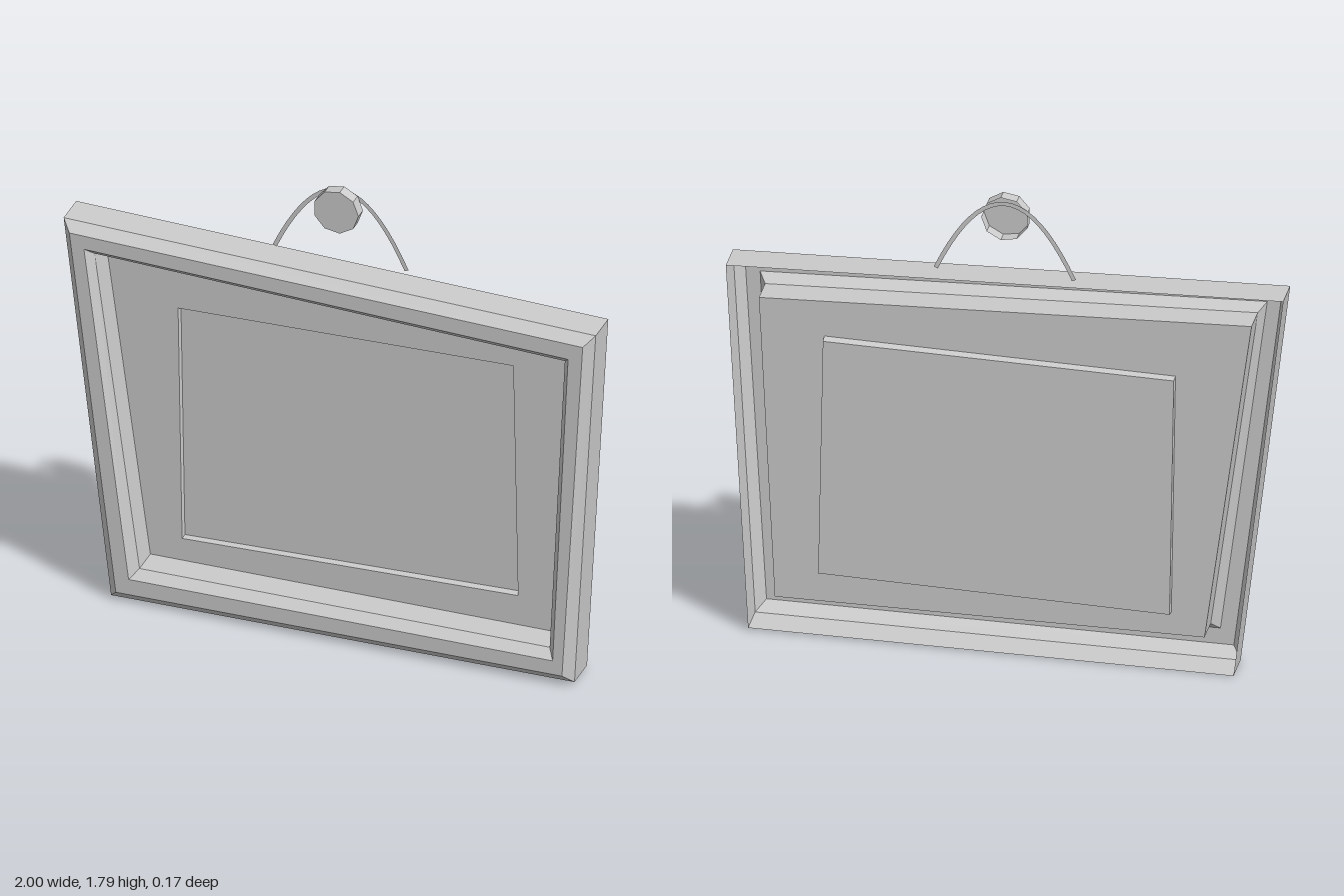
import * as THREE from 'three';
import { mergeGeometries } from 'three/addons/utils/BufferGeometryUtils.js';

const material = new THREE.MeshStandardMaterial({
  color: 0xcccccc, flatShading: true, side: THREE.DoubleSide,
});

// Joins four-cornered rings (top left, top right, bottom right, bottom left) into a flat-faced shell.
function loftQuads(rings, capped) {
  const positions = [];
  const index = [];
  rings.forEach(({ corners, z }) => corners.forEach(([x, y]) => positions.push(x, y, z)));
  for (let r = 0; r < rings.length - 1; r++) {
    for (let i = 0; i < 4; i++) {
      const j = (i + 1) % 4;
      const a = r * 4, b = a + 4;
      index.push(a + i, b + i, b + j, a + i, b + j, a + j);
    }
  }
  if (capped) {
    const k = (rings.length - 1) * 4;
    index.push(k, k + 3, k + 2, k, k + 2, k + 1);
  }
  const indexed = new THREE.BufferGeometry();
  indexed.setAttribute('position', new THREE.Float32BufferAttribute(positions, 3));
  indexed.setIndex(index);
  const geometry = indexed.toNonIndexed();
  geometry.computeVertexNormals();
  return geometry;
}

export function createModel() {
  const group = new THREE.Group();
  const add = (name, geometry) => {
    const mesh = new THREE.Mesh(geometry, material);
    mesh.name = name;
    group.add(mesh);
  };

  // Crooked outlines, from the outer edge inwards
  const outer = [[-1, 1.5], [1, 1.435], [0.92, 0.008], [-0.822, 0]];
  const bevel = [[-0.965, 1.465], [0.965, 1.4], [0.887, 0.045], [-0.79, 0.038]];
  const lip = [[-0.91, 1.41], [0.91, 1.34], [0.852, 0.1], [-0.742, 0.1]];
  const well = [[-0.883, 1.38], [0.885, 1.31], [0.828, 0.132], [-0.714, 0.132]];
  const panel = [[-0.61, 1.155], [0.65, 1.182], [0.668, 0.25], [-0.595, 0.22]];
  const panelBack = [[-0.609, 1.149], [0.65, 1.174], [0.667, 0.254], [-0.594, 0.222]];
  const floorZ = -0.058;

  // Hollow frame moulding, open at the back
  add('frame', loftQuads([
    { corners: outer, z: -0.077 },
    { corners: outer, z: 0.047 },
    { corners: bevel, z: 0.084 },
    { corners: lip, z: 0.084 },
    { corners: well, z: 0.05 },
  ]));

  // Deep tray with a shallow picture recess pressed through its floor
  add('backingTray', loftQuads([
    { corners: well, z: 0.05 },
    { corners: well, z: floorZ },
    { corners: panel, z: floorZ },
    { corners: panelBack, z: -0.084 },
  ], true));

  // Hanging cord: a thin flat ribbon bent into a parabola
  const half = 0.008, steps = 20;
  const edge = (side) => Array.from({ length: steps + 1 }, (_, i) => {
    const x = -0.248 + 0.496 * i / steps;
    const normal = new THREE.Vector2(9 * x, 1).normalize().multiplyScalar(side * half);
    return new THREE.Vector2(x + 0.004, 1.768 - 4.5 * x * x).add(normal);
  });
  const cord = new THREE.ShapeGeometry(new THREE.Shape([...edge(1), ...edge(-1).reverse()]));
  add('hangingCord', cord.translate(0, 0, -0.05));

  // Nail head: a nine-sided cup with its face to the front
  const radius = 0.085, depth = 0.045;
  const wall = new THREE.CylinderGeometry(radius, radius, depth, 9, 1, true, Math.PI / 2)
    .rotateX(Math.PI / 2).translate(0, 0, -depth / 2);
  const face = new THREE.CircleGeometry(radius, 9);
  add('nailHead', mergeGeometries([wall, face]).translate(0.005, 1.705, 0));

  return group;
}
